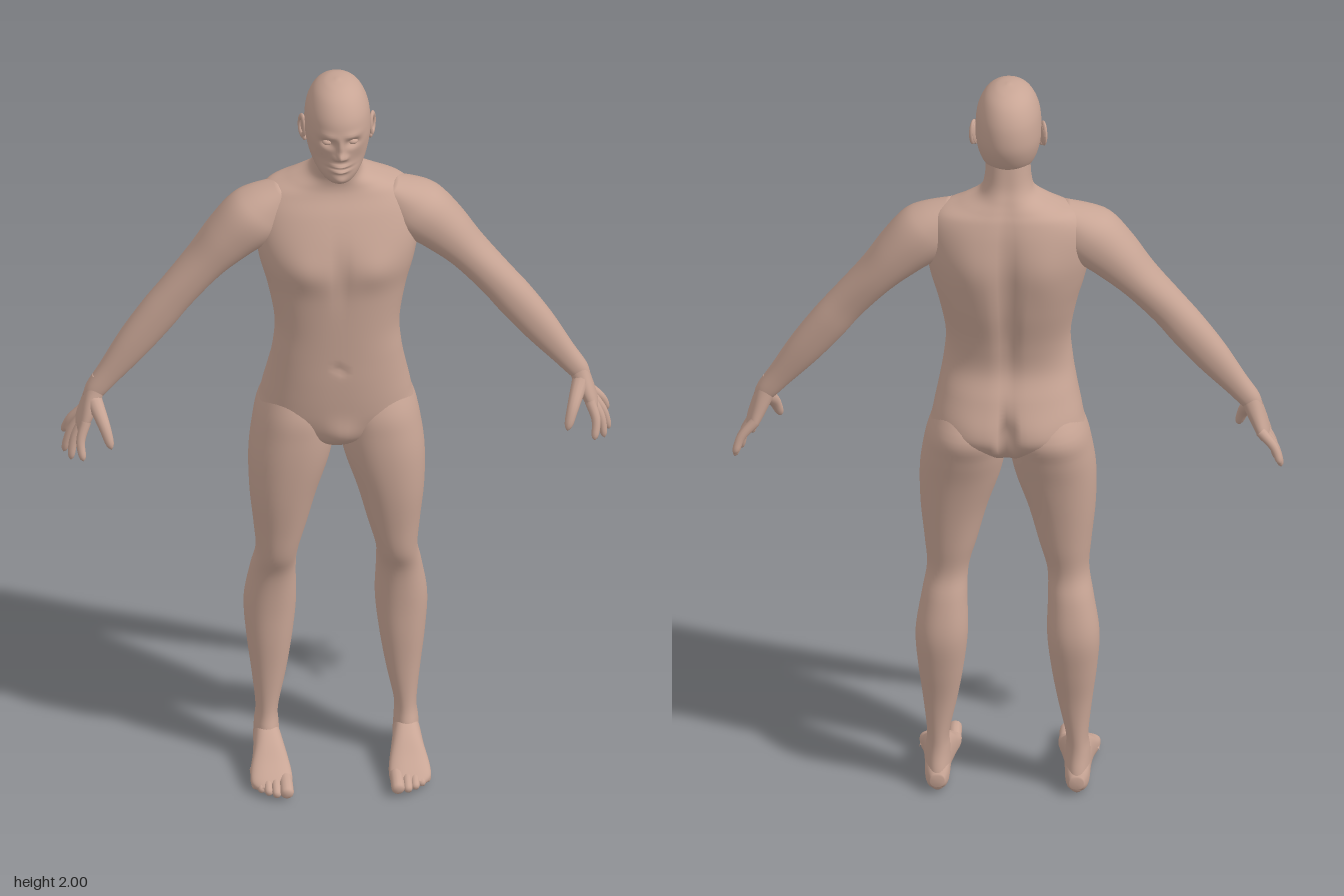
import * as THREE from 'three';
import { mergeVertices } from 'three/addons/utils/BufferGeometryUtils.js';

const skin = new THREE.MeshStandardMaterial({ color: 0xc8a595 });

// Smooth skin over horizontal sections [y, xMin, xMax, zFront, zBack], listed top down.
// Bumps [x, y, sizeX, sizeY, dz, side] push the front (1) or back (-1) surface, mirrored in x.
function loft(rows, { n = 2.2, seg = 40, steps = 5, bumps = [] } = {}) {
  const pos = [], index = [], last = rows.length - 1, rings = last * steps + 1;
  const spline = (a, b, c, d, t) =>
    b + 0.5 * t * (c - a + t * (2 * a - 5 * b + 4 * c - d + t * (3 * (b - c) + d - a)));
  const power = v => Math.sign(v) * Math.abs(v) ** (2 / n);
  for (let r = 0; r < rings; r++) {
    const i = Math.min(Math.floor(r / steps), last - 1), t = r / steps - i;
    const [p, q, s, u] = [Math.max(i - 1, 0), i, i + 1, Math.min(i + 2, last)].map(k => rows[k]);
    const [y, x0, x1, zf, zb] = q.map((_, k) => spline(p[k], q[k], s[k], u[k], t));
    for (let j = 0; j < seg; j++) {
      const a = j / seg * Math.PI * 2, sn = Math.sin(a);
      const x = (x0 + x1) / 2 + (x1 - x0) / 2 * power(Math.cos(a));
      let z = (zf + zb) / 2 + (zf - zb) / 2 * power(sn);
      for (const [bx, by, sx, sy, dz, side] of bumps)
        z += dz * Math.max(0, sn * side) ** 0.5
          * Math.exp(-(((Math.abs(x) - bx) / sx) ** 2) - ((y - by) / sy) ** 2);
      pos.push(x, y, z);
    }
  }
  for (let r = 0; r < rings - 1; r++)
    for (let j = 0; j < seg; j++) {
      const a = r * seg + j, b = r * seg + (j + 1) % seg;
      index.push(a, b, a + seg, b, b + seg, a + seg);
    }
  // end caps
  for (const [k, row] of [[0, rows[0]], [rings - 1, rows[last]]]) {
    const c = pos.length / 3;
    pos.push((row[1] + row[2]) / 2, row[0], (row[3] + row[4]) / 2);
    for (let j = 0; j < seg; j++) {
      const a = k * seg + j, b = k * seg + (j + 1) % seg;
      index.push(c, k ? a : b, k ? b : a);
    }
  }
  const g = new THREE.BufferGeometry();
  g.setAttribute('position', new THREE.Float32BufferAttribute(pos, 3));
  g.setIndex(index);
  g.computeVertexNormals();
  return g;
}

// Tapered digit with a rounded tip
function digit(points, r0, r1) {
  const curve = new THREE.CatmullRomCurve3(points.map(p => new THREE.Vector3(...p)));
  const N = 18, M = 12, g = new THREE.TubeGeometry(curve, N, 1, M), p = g.attributes.position;
  const v = new THREE.Vector3();
  for (let i = 0; i <= N; i++) {
    const t = i / N, c = curve.getPointAt(t), e = Math.max(0, (t - 0.8) / 0.2);
    const r = (r0 + (r1 - r0) * t) * Math.sqrt(Math.max(0, 1 - e * e));
    for (let j = 0; j <= M; j++) {
      const k = i * (M + 1) + j;
      v.fromBufferAttribute(p, k).sub(c).multiplyScalar(r).add(c);
      p.setXYZ(k, v.x, v.y, v.z);
    }
  }
  g.deleteAttribute('uv');
  g.deleteAttribute('normal');
  const m = mergeVertices(g, 1e-5);
  m.computeVertexNormals();
  return m;
}

const ball = (x, y, z, rx, ry, rz) =>
  new THREE.SphereGeometry(1, 24, 16).scale(rx, ry, rz).translate(x, y, z);

function mirrored(g) {
  const m = g.clone().scale(-1, 1, 1), a = m.index.array;
  for (let i = 0; i < a.length; i += 3) [a[i], a[i + 1]] = [a[i + 1], a[i]];
  m.computeVertexNormals();
  return m;
}

export function createModel() {
  const body = new THREE.Group();
  body.name = 'humanFigure';
  const add = (name, g) => {
    const m = new THREE.Mesh(g, skin);
    m.name = name;
    body.add(m);
  };
  const pair = (name, g) => {
    add('left' + name, g);
    add('right' + name, mirrored(g));
  };
  const centred = rows => rows.map(([y, w, f, b]) => [y, -w, w, f, b]);

  // Neck, chest, waist and pelvis
  add('torso', loft(centred([
    [1.81, 0.055, 0.04, -0.09], [1.75, 0.058, 0.03, -0.1], [1.715, 0.072, 0.02, -0.115],
    [1.69, 0.12, 0.018, -0.128], [1.665, 0.175, 0.026, -0.14], [1.62, 0.2, 0.052, -0.152],
    [1.55, 0.204, 0.082, -0.16], [1.48, 0.193, 0.095, -0.158], [1.4, 0.172, 0.092, -0.148],
    [1.3, 0.155, 0.088, -0.125], [1.22, 0.16, 0.085, -0.118], [1.15, 0.172, 0.083, -0.145],
    [1.08, 0.186, 0.078, -0.168], [1.03, 0.19, 0.07, -0.165], [0.98, 0.14, 0.055, -0.12],
    [0.95, 0.05, 0.03, -0.07]]), {
    n: 2.35, seg: 80, steps: 6, bumps: [
      [0.09, 1.49, 0.06, 0.05, 0.012, 1], [0, 1.48, 0.018, 0.08, -0.008, 1],
      [0, 1.2, 0.01, 0.012, -0.008, 1], [0, 1.0, 0.04, 0.04, 0.015, 1],
      [0.09, 1.54, 0.06, 0.09, -0.012, -1], [0, 1.42, 0.022, 0.22, 0.018, -1],
      [0.085, 1.06, 0.06, 0.05, -0.008, -1], [0, 1.05, 0.014, 0.06, 0.05, -1]] }));

  // Skull and face
  add('head', loft(centred([
    [2.0, 0.004, 0, -0.01], [1.992, 0.034, 0.04, -0.055], [1.97, 0.06, 0.075, -0.09],
    [1.93, 0.077, 0.1, -0.113], [1.88, 0.082, 0.106, -0.12], [1.84, 0.079, 0.1, -0.112],
    [1.8, 0.069, 0.097, -0.09], [1.77, 0.054, 0.095, -0.055], [1.75, 0.035, 0.086, -0.01],
    [1.742, 0.015, 0.07, 0.03]]), {
    n: 2.1, seg: 112, steps: 9, bumps: [
      [0.031, 1.872, 0.018, 0.012, -0.016, 1], [0.03, 1.895, 0.022, 0.009, 0.005, 1],
      [0, 1.86, 0.008, 0.025, 0.01, 1], [0, 1.838, 0.011, 0.011, 0.018, 1],
      [0.013, 1.832, 0.007, 0.007, 0.008, 1], [0, 1.806, 0.022, 0.005, 0.011, 1],
      [0, 1.792, 0.02, 0.006, 0.011, 1], [0, 1.799, 0.026, 0.0035, -0.006, 1],
      [0.045, 1.815, 0.018, 0.025, -0.006, 1], [0, 1.763, 0.018, 0.012, 0.007, 1]] }));
  pair('Eye', ball(0.031, 1.871, 0.079, 0.014, 0.009, 0.013));

  // Ears: rim, bowl and lobe
  const place = g => g.rotateY(Math.PI / 2 - 0.35).translate(0.087, 1.862, -0.012);
  pair('EarRim', place(new THREE.TorusGeometry(0.015, 0.005, 10, 28).scale(1, 1.75, 1)));
  pair('EarBowl', place(ball(0, 0, -0.004, 0.016, 0.028, 0.005)));
  pair('EarLobe', ball(0.082, 1.834, -0.006, 0.006, 0.01, 0.009));

  // Arm, drawn hanging and then swung outwards
  pair('Arm', loft([
    [0.11, -0.05, 0.006, 0.0, -0.09], [0.05, -0.075, 0.05, 0.025, -0.112],
    [0, -0.08, 0.07, 0.038, -0.12], [-0.08, -0.058, 0.07, 0.032, -0.115],
    [-0.17, -0.04, 0.061, 0.022, -0.104], [-0.28, -0.035, 0.059, 0.015, -0.086],
    [-0.36, -0.038, 0.058, 0.012, -0.08], [-0.46, -0.037, 0.05, 0.008, -0.07],
    [-0.56, -0.03, 0.034, 0.002, -0.056], [-0.62, -0.026, 0.026, 0, -0.05],
    [-0.65, -0.018, 0.014, -0.005, -0.042]])
    .rotateZ(0.682).translate(0.21, 1.59, 0));

  // Hand
  pair('Palm', loft([
    [0.035, -0.02, 0.02, 0.02, -0.02], [0, -0.024, 0.024, 0.026, -0.026],
    [-0.05, -0.022, 0.021, 0.042, -0.036], [-0.095, -0.017, 0.016, 0.047, -0.044],
    [-0.114, -0.009, 0.009, 0.036, -0.036]])
    .rotateZ(0.36).translate(0.6, 1.11, -0.025));
  const fingers = [
    ['IndexFinger', 0.01, [0.635, 0.94, 0.045]], ['MiddleFinger', -0.014, [0.663, 0.92, 0.002]],
    ['RingFinger', -0.037, [0.678, 0.92, -0.037]], ['LittleFinger', -0.058, [0.677, 0.952, -0.08]]];
  for (const [name, z, tip] of fingers)
    pair(name, digit([[0.626, 1.035, z],
      [(0.626 + tip[0]) / 2 + 0.01, (1.035 + tip[1]) / 2, (z + tip[2]) / 2], tip], 0.0135, 0.009));
  pair('Thumb', digit([[0.605, 1.085, -0.01], [0.582, 1.035, 0.04], [0.566, 0.982, 0.063]], 0.021, 0.01));

  // Leg from hip to heel
  pair('Leg', loft([
    [1.14, 0.04, 0.155, 0.03, -0.11], [1.05, 0.006, 0.194, 0.066, -0.168],
    [0.98, 0.004, 0.21, 0.073, -0.157], [0.9, 0.018, 0.219, 0.073, -0.137],
    [0.8, 0.05, 0.217, 0.065, -0.12], [0.7, 0.076, 0.207, 0.05, -0.108],
    [0.62, 0.097, 0.201, 0.036, -0.1], [0.55, 0.1, 0.213, 0.008, -0.118],
    [0.45, 0.098, 0.228, -0.003, -0.134], [0.35, 0.108, 0.222, -0.005, -0.122],
    [0.25, 0.124, 0.21, -0.008, -0.105], [0.15, 0.144, 0.2, -0.006, -0.099],
    [0.1, 0.143, 0.204, 0.008, -0.101], [0.05, 0.141, 0.205, 0.02, -0.114],
    [0.015, 0.145, 0.2, 0.01, -0.114], [0, 0.155, 0.19, 0, -0.1]], { n: 2.15, seg: 48 }));

  // Foot, lofted from toes to heel and laid flat
  pair('Foot', loft([
    [0.143, 0.13, 0.2, -0.008, -0.026], [0.12, 0.121, 0.222, -0.002, -0.04],
    [0.08, 0.121, 0.223, 0, -0.06], [0.03, 0.13, 0.213, 0, -0.095],
    [-0.03, 0.14, 0.207, 0, -0.115], [-0.09, 0.144, 0.203, 0, -0.08],
    [-0.117, 0.155, 0.19, -0.018, -0.05]], { n: 2.4 }).rotateX(Math.PI / 2));
  const toes = [[0.138, 0.177, 0.017], [0.163, 0.172, 0.0115], [0.182, 0.16, 0.011],
    [0.199, 0.145, 0.0105], [0.213, 0.127, 0.01]];
  toes.forEach(([x, z, r], i) => pair('Toe' + (i + 1),
    digit([[x, 0.026, z - 0.07], [x, 0.024, z - 0.03], [x, r + 0.001, z]], r, r)));

  return body;
}
